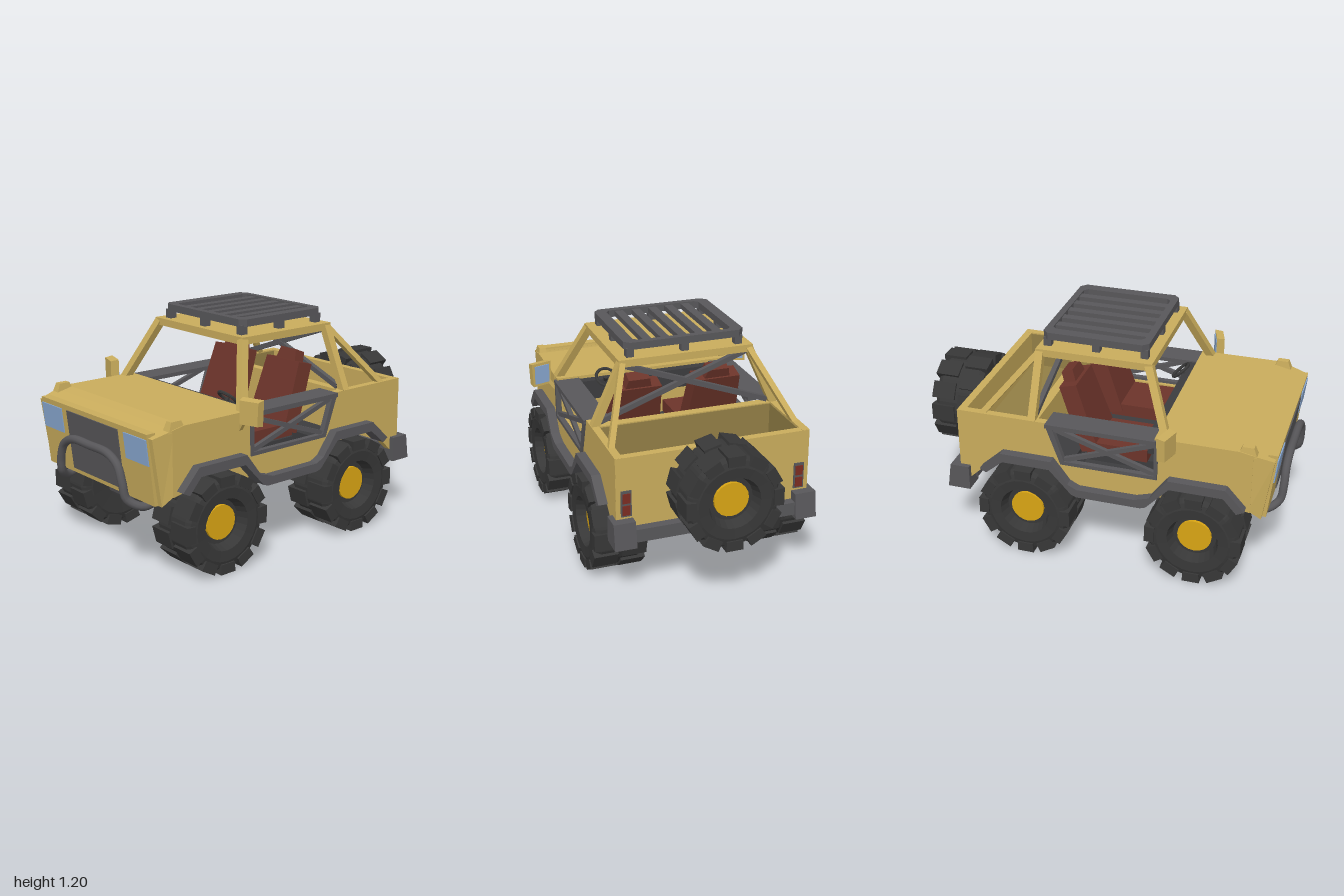
import * as THREE from 'three';

const mat = (name, color) => {
  const m = new THREE.MeshStandardMaterial({ color, flatShading: true });
  m.name = name;
  return m;
};

export function createModel() {
  const root = new THREE.Group();
  root.name = 'offRoadTruck';
  const paint = mat('sandPaint', 0xc9ac5c), bedPaint = mat('shadedSandPaint', 0x927e45);
  const grey = mat('greyTrim', 0x58575a), dark = mat('darkUnderbody', 0x3c3c3e);
  const rubber = mat('tyreRubber', 0x373737), hubYellow = mat('yellowHub', 0xd9a514);
  const leather = mat('brownSeat', 0x6c342a), glass = mat('blueGlass', 0x8aa9d2), red = mat('tailRed', 0x7c2c22);

  const add = (name, geo, m, parent = root) => {
    const mesh = new THREE.Mesh(geo, m);
    mesh.name = name;
    parent.add(mesh);
    return mesh;
  };
  // box given by its limits
  const box = (name, m, x0, x1, y0, y1, z0, z1, parent) =>
    add(name, new THREE.BoxGeometry(Math.abs(x1 - x0), y1 - y0, z1 - z0)
      .translate((x0 + x1) / 2, (y0 + y1) / 2, (z0 + z1) / 2), m, parent);
  // box whose corners (each -1 or 1) are moved by a rule
  const hexa = (rule) => {
    const g = new THREE.BoxGeometry(2, 2, 2), p = g.attributes.position;
    for (let i = 0; i < p.count; i++) p.setXYZ(i, ...rule(p.getX(i), p.getY(i), p.getZ(i)));
    g.computeVertexNormals();
    return g;
  };
  // side profile of [z, y] points, extruded from x0 to x1
  const profile = (name, m, pts, x0, x1, hole, parent) => {
    const s = new THREE.Shape(pts.map((p) => new THREE.Vector2(...p)));
    if (hole) s.holes.push(new THREE.Path(hole.map((p) => new THREE.Vector2(...p))));
    const lo = Math.min(x0, x1), hi = Math.max(x0, x1);
    return add(name, new THREE.ExtrudeGeometry(s, { depth: hi - lo, bevelEnabled: false })
      .rotateY(-Math.PI / 2).translate(hi, 0, 0), m, parent);
  };
  // square or round bar between two points
  const bar = (name, m, a, b, r, sides = 4) => {
    const A = new THREE.Vector3(...a), B = new THREE.Vector3(...b);
    const g = new THREE.CylinderGeometry(r, r, A.distanceTo(B), sides);
    if (sides === 4) g.rotateY(Math.PI / 4);
    const mesh = add(name, g, m);
    mesh.position.copy(A).add(B).multiplyScalar(0.5);
    mesh.quaternion.setFromUnitVectors(new THREE.Vector3(0, 1, 0), B.sub(A).normalize());
    return mesh;
  };

  // wheels: axis along x, hub facing +x
  const makeWheel = (name, x, y, z, turn) => {
    const w = new THREE.Group();
    w.name = name;
    const prof = [[0, -0.12], [0.19, -0.135], [0.225, -0.125], [0.243, -0.1], [0.243, 0.1], [0.225, 0.125],
      [0.19, 0.135], [0.135, 0.13], [0.115, 0.07], [0, 0.065]].map((p) => new THREE.Vector2(...p));
    add('tyre', new THREE.LatheGeometry(prof, 24).rotateZ(-Math.PI / 2), rubber, w);
    add('hub', new THREE.CylinderGeometry(0.09, 0.09, 0.03, 20).rotateZ(Math.PI / 2).translate(0.07, 0, 0), hubYellow, w);
    for (let i = 0; i < 24; i++) {
      const side = i % 2 ? 1 : -1;
      const g = hexa((a, b, c) => [side * 0.075 + a * 0.065, b > 0 ? 0.253 : 0.2, c * (b > 0 ? 0.046 : 0.042)]);
      add('treadBlock', g.rotateX((i * Math.PI) / 12 + Math.PI / 12), rubber, w);
    }
    w.position.set(x, y, z);
    w.rotation.y = turn;
    root.add(w);
  };
  makeWheel('spareWheel', 0, 0.58, -0.86, Math.PI / 2);
  box('spareWheelMount', grey, -0.08, 0.08, 0.5, 0.66, -0.75, -0.71);

  // nose, hood and front face
  add('nose', hexa((a, b, c) => c > 0
    ? [a * 0.495, b > 0 ? 0.745 : 0.4, b > 0 ? 0.955 : 0.905]
    : [a * 0.515, b > 0 ? 0.775 : 0.45, 0.84]), paint);
  add('faceFrame', hexa((a, b, c) => [a * 0.465, b > 0 ? 0.765 : 0.4, (b > 0 ? 0.945 : 0.905) + (c > 0 ? 0.02 : -0.03)]), paint);
  const faceZ = (y) => 0.925 + ((y - 0.4) / 0.365) * 0.04;
  const facePlate = (name, m, x0, x1, y0, y1) => add(name, hexa((a, b, c) => {
    const y = b > 0 ? y1 : y0;
    return [a > 0 ? x1 : x0, y, faceZ(y) + (c > 0 ? 0.006 : -0.002)];
  }), m);
  facePlate('grille', grey, -0.225, 0.225, 0.425, 0.738);
  profile('hood', paint, [[0.85, 0.772], [0.78, 0.787], [0.35, 0.787], [0.35, 0.73], [0.85, 0.7]], -0.514, 0.514);
  box('firewall', paint, -0.48, 0.48, 0.42, 0.75, 0.35, 0.38);
  box('dashboard', dark, -0.46, 0.46, 0.66, 0.77, 0.3, 0.352);
  const wheel = add('steeringWheel', new THREE.TorusGeometry(0.055, 0.009, 6, 16), rubber);
  wheel.position.set(0.25, 0.785, 0.29);
  wheel.rotation.x = 0.85;
  bar('steeringColumn', rubber, [0.25, 0.785, 0.29], [0.25, 0.72, 0.34], 0.012, 6);

  // roof and roof rack
  box('roof', paint, -0.365, 0.365, 1.078, 1.117, -0.328, 0.29);
  box('roofLining', dark, -0.33, 0.33, 1.073, 1.079, -0.3, 0.26);
  const chamfered = (x, z0, z1, c) => [[-x + c, z0], [x - c, z0], [x, z0 + c], [x, z1 - c], [x - c, z1], [-x + c, z1], [-x, z1 - c], [-x, z0 + c]]
    .map((p) => new THREE.Vector2(...p));
  const rackShape = new THREE.Shape(chamfered(0.325, -0.257, 0.305, 0.03));
  rackShape.holes.push(new THREE.Path(chamfered(0.265, -0.22, 0.27, 0.02)));
  add('rackFrame', new THREE.ExtrudeGeometry(rackShape, { depth: 0.038, bevelEnabled: false })
    .rotateX(-Math.PI / 2).translate(0, 1.158, 0), grey);
  for (let i = -2; i <= 2; i++) box('rackSlat', grey, i * 0.095 - 0.023, i * 0.095 + 0.023, 1.162, 1.19, -0.28, 0.23);
  for (const x of [-0.295, 0, 0.295]) for (const z of [-0.28, -0.02, 0.235])
    if (x || Math.abs(z) > 0.1) box('rackFoot', grey, x - 0.02, x + 0.02, 1.11, 1.165, z - 0.02, z + 0.02);

  // cabin floor, partition, cargo bed and tailgate
  box('underbodyFloor', dark, -0.48, 0.48, 0.4, 0.45, -0.09, 0.35);
  box('chassis', dark, -0.28, 0.28, 0.395, 0.5, -0.66, 0.86);
  box('skidPlate', grey, -0.2, 0.2, 0.385, 0.4, -0.08, 0.32);
  box('partition', paint, -0.5, 0.5, 0.5, 0.776, -0.33, -0.28);
  box('partitionLining', bedPaint, -0.47, 0.47, 0.56, 0.77, -0.335, -0.329);
  box('bedFloor', bedPaint, -0.48, 0.48, 0.54, 0.57, -0.7, -0.3);
  box('cabinRearFloor', dark, -0.48, 0.48, 0.52, 0.55, -0.3, -0.1);
  box('tailgate', paint, -0.514, 0.514, 0.4, 0.776, -0.722, -0.68);

  // rear bumper
  box('rearBumperBar', grey, -0.45, 0.45, 0.33, 0.4, -0.77, -0.66);

  // underside of the front end
  add('frontSkid', hexa((a, b, c) => [a * (b > 0 ? 0.24 : 0.17), b > 0 ? 0.42 : 0.355, 0.65 + c * 0.15]), dark);

  for (const s of [-1, 1]) {
    // wheels, hubs and axle arms
    for (const z of [0.575, -0.34]) {
      makeWheel(z > 0 ? 'frontWheel' : 'rearWheel', s * 0.45, 0.255, z, s > 0 ? 0 : Math.PI);
      bar('axleHub', grey, [s * 0.22, 0.255, z], [s * 0.34, 0.255, z], 0.088, 12);
      bar('axleArm', grey, [s * 0.25, 0.25, z], [s * 0.04, 0.4, z], 0.035, 8);
      bar('controlArm', grey, [s * 0.25, 0.27, z], [s * 0.12, 0.4, z - 0.1], 0.025, 8);
    }

    // body side with wheel arches and door cut-out
    profile('bodySide', paint, [[0.85, 0.774], [0.78, 0.787], [0.37, 0.787], [0.365, 0.555], [-0.15, 0.555],
      [-0.23, 0.777], [-0.72, 0.777], [-0.722, 0.4], [-0.665, 0.375], [-0.5, 0.53], [-0.2, 0.535], [-0.09, 0.42],
      [0.33, 0.42], [0.44, 0.54], [0.72, 0.54], [0.8, 0.45], [0.85, 0.44]], s * 0.475, s * 0.515);
    box('bedLining', bedPaint, s * 0.469, s * 0.476, 0.56, 0.77, -0.685, -0.33);

    // fender flares joined by the rocker step
    profile('fenderFlare', grey, [[0.83, 0.47], [0.73, 0.58], [0.43, 0.58], [0.34, 0.46], [0.26, 0.435], [-0.05, 0.435],
      [-0.1, 0.46], [-0.19, 0.58], [-0.47, 0.58], [-0.59, 0.47], [-0.555, 0.45], [-0.46, 0.53], [-0.2, 0.53],
      [-0.08, 0.4], [-0.05, 0.39], [0.29, 0.39], [0.32, 0.4], [0.44, 0.53], [0.72, 0.53], [0.79, 0.45]], s * 0.48, s * 0.565);

    // tubular door
    profile('doorFrame', grey, [[0.372, 0.775], [-0.232, 0.775], [-0.15, 0.55], [0.367, 0.55]], s * 0.495, s * 0.525,
      [[0.35, 0.75], [-0.19, 0.75], [-0.13, 0.57], [0.35, 0.57]]);
    box('doorTop', grey, s * 0.39, s * 0.53, 0.755, 0.777, -0.23, 0.36);
    bar('doorBrace', grey, [s * 0.505, 0.745, 0.35], [s * 0.505, 0.575, -0.13], 0.017);
    bar('doorBrace', grey, [s * 0.505, 0.575, 0.35], [s * 0.505, 0.75, -0.19], 0.017);

    // cabin pillars and rear brace
    bar('frontPillar', paint, [s * 0.498, 0.77, 0.41], [s * 0.345, 1.1, 0.272], 0.029);
    bar('rearPillar', paint, [s * 0.495, 0.77, -0.308], [s * 0.345, 1.1, -0.308], 0.029);
    bar('rearBrace', paint, [s * 0.495, 0.765, -0.59], [s * 0.345, 1.095, -0.315], 0.021);
    bar('rearWindowBrace', grey, [s * 0.335, 1.08, -0.3], [-s * 0.46, 0.79, -0.3 - s * 0.004], 0.019);

    // headlights and corner markers
    facePlate('headlight', glass, s * 0.368 - 0.092, s * 0.368 + 0.092, 0.605, 0.737);
    add('cornerMarker', hexa((a, b, c) => [s * 0.487 + a * (b > 0 ? 0.018 : 0.026), b > 0 ? 0.812 : 0.76, 0.82 + c * (b > 0 ? 0.03 : 0.05)]), paint);

    // mirror
    const mirror = new THREE.Group();
    mirror.name = 'mirror';
    add('mirrorHousing', hexa((a, b, c) => [s * (a > 0 ? 0.062 : -0.058) * (b > 0 ? 1 : a > 0 ? 0.9 : 1) * (c > 0 ? 0.9 : 1) * 1,
      b * (c > 0 ? 0.06 : 0.067), c * 0.022]).scale(1, 1, 1), paint, mirror);
    if (s < 0) { // restore outward winding on the mirrored housing
      const idx = mirror.children[0].geometry.index.array;
      for (let i = 0; i < idx.length; i += 3) [idx[i], idx[i + 1]] = [idx[i + 1], idx[i]];
    }
    box('mirrorGlass', glass, -0.045, 0.045, -0.052, 0.052, -0.027, -0.021, mirror);
    mirror.position.set(s * 0.592, 0.802, 0.432);
    mirror.rotation.y = s * 0.3;
    root.add(mirror);
    bar('mirrorArm', paint, [s * 0.505, 0.7, 0.43], [s * 0.55, 0.76, 0.435], 0.015);

    // seat with headrest
    box('seatCushion', leather, s * 0.08, s * 0.36, 0.54, 0.61, -0.06, 0.27);
    const seatBack = (name, y0, y1, z0, z1, d, w0, w1) => add(name, hexa((a, b, c) =>
      [s * 0.22 + a * (b > 0 ? w1 : w0), (b > 0 ? y1 : y0) + c * 0.012, (b > 0 ? z1 : z0) + c * d]), leather);
    seatBack('seatBack', 0.56, 0.915, -0.04, -0.165, 0.046, 0.148, 0.126);
    seatBack('headrest', 0.9, 0.968, -0.165, -0.19, 0.03, 0.075, 0.058);

    // bumper corner and tail light
    add('bumperCorner', hexa((a, b, c) => [s * 0.485 + a * 0.057, b > 0 ? 0.447 : 0.31,
      c > 0 ? -0.665 : b > 0 ? -0.77 : -0.79]), grey);
    box('tailLightHousing', grey, s * 0.435, s * 0.49, 0.46, 0.6, -0.728, -0.72);
    for (const y of [0.495, 0.56]) box('tailLight', red, s * 0.443, s * 0.482, y - 0.026, y + 0.026, -0.733, -0.727);
  }

  // bull bar
  const half = [[0.33, 0.44, 0.77], [0.345, 0.38, 0.83], [0.335, 0.36, 0.9], [0.29, 0.4, 0.965], [0.275, 0.48, 0.978],
    [0.24, 0.56, 0.978], [0.16, 0.603, 0.978], [0, 0.608, 0.978]];
  const path = [...half, ...half.slice(0, -1).reverse().map(([x, y, z]) => [-x, y, z])].map((p) => new THREE.Vector3(...p));
  const bull = mat('greyTube', 0x58575a);
  bull.flatShading = false;
  add('bullBar', new THREE.TubeGeometry(new THREE.CatmullRomCurve3(path), 70, 0.022, 10), bull);

  return root;
}
